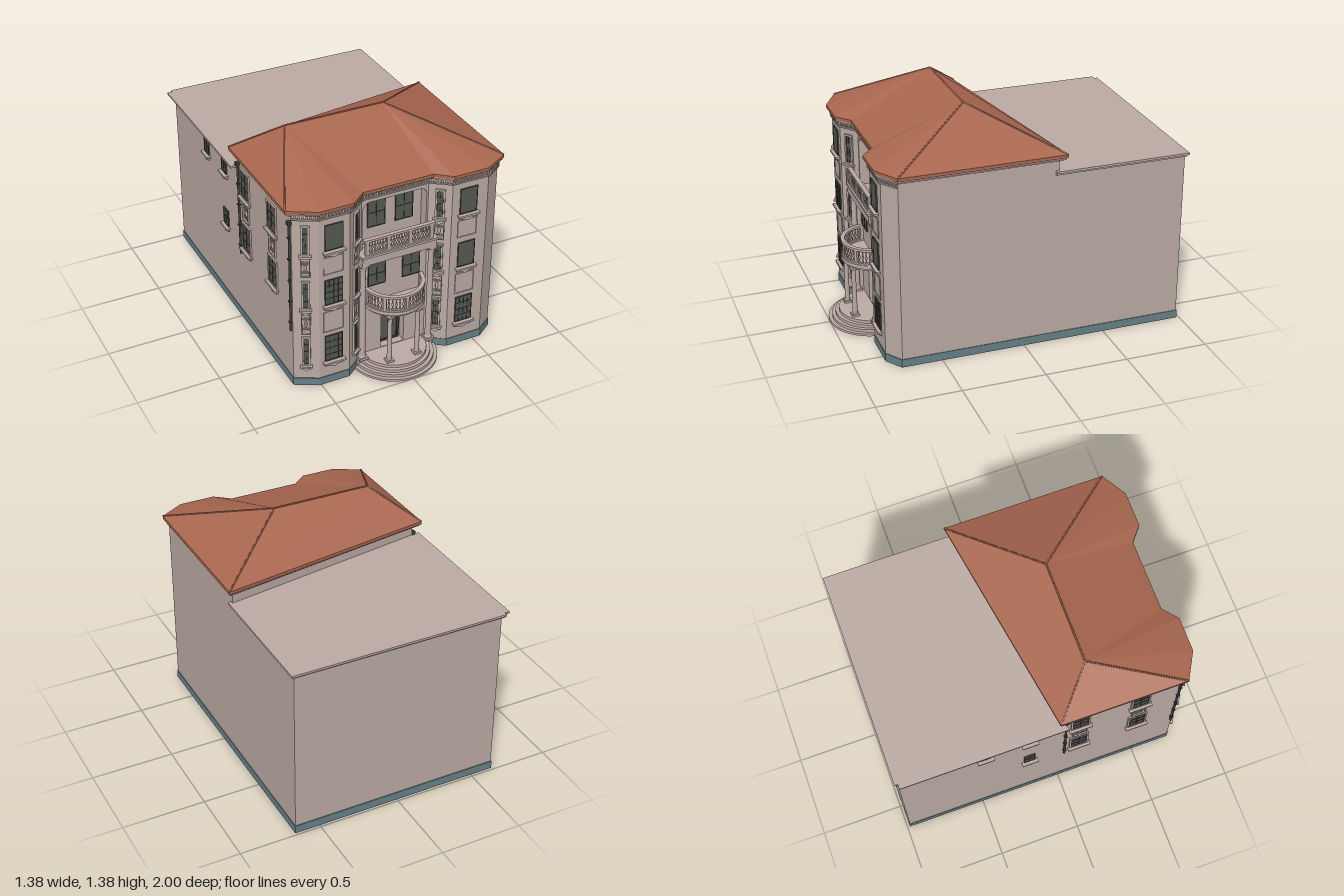
import * as THREE from 'three';

const mat = (name, color) => Object.assign(new THREE.MeshStandardMaterial({ color }), { name });

export function createModel() {
  const house = new THREE.Group();
  house.name = 'house';
  const wall = mat('warm grey stucco', 0xbbaaa3);
  const roofMat = mat('terracotta roof', 0xa9674f);
  const plinthMat = mat('blue grey plinth', 0x668087);
  const glass = mat('dark glass', 0x565a53);
  const iron = mat('dark iron', 0x3c403c);

  const add = (parent, name, geo, material, x = 0, y = 0, z = 0) => {
    const m = new THREE.Mesh(geo, material);
    m.name = name;
    m.position.set(x, y, z);
    parent.add(m);
    return m;
  };
  const box = (parent, name, w, h, d, material, x, y, z) =>
    add(parent, name, new THREE.BoxGeometry(w, h, d), material, x, y, z);
  // Plan outline [x, z] raised from y0 to y1
  const raise = (shape, y0, y1) => {
    const g = new THREE.ExtrudeGeometry(shape, { depth: y1 - y0, bevelEnabled: false, curveSegments: 24 });
    return g.rotateX(-Math.PI / 2).translate(0, y0, 0);
  };
  const plan = pts => new THREE.Shape(pts.map(([x, z]) => new THREE.Vector2(x, -z)));

  // Plan of the front block and of its eaves, from front left around to the back
  const foot = [[-0.64, 0.74], [-0.51, 0.81], [-0.32, 0.81], [-0.21, 0.73], [0.21, 0.73],
    [0.32, 0.81], [0.55, 0.81], [0.65, 0.74], [0.65, -0.2], [-0.64, 0.02]];
  const eave = [[-0.68, 0.75], [-0.52, 0.84], [-0.31, 0.84], [-0.22, 0.765], [0.22, 0.765],
    [0.31, 0.84], [0.53, 0.84], [0.683, 0.75], [0.683, -0.24], [-0.68, -0.02]];
  const ring = t => foot.map(([x, z], i) => [x + (eave[i][0] - x) * t, z + (eave[i][1] - z) * t]);
  const front = foot.slice(0, 8);
  const notched = [...foot.slice(0, 4), [-0.21, 0.67], [0.21, 0.67], ...foot.slice(4)];
  const rear = [[0.65, -0.98], [-0.64, -0.98]];

  // Main masses
  add(house, 'lowerBody', raise(plan([...notched.slice(0, 10), ...rear]), 0.02, 1.07), wall);
  add(house, 'upperBody', raise(plan(notched), 1.06, 1.17), wall);
  const grow = ([x, z]) => [x * 1.006, z * 1.005];
  add(house, 'plinth', raise(plan([...front, ...rear].map(grow)), 0, 0.05), plinthMat);
  add(house, 'rearRoofSlab', raise(plan([[-0.69, 0.03], [-0.69, -0.98], [-0.66, -0.98], [-0.66, -1],
    [0.67, -1], [0.67, -0.18], [0.6, -0.18]]), 1.072, 1.085), wall);
  add(house, 'rearRoofMoulding', raise(plan([[-0.66, 0.02], [-0.66, -0.99], [0.66, -0.99], [0.66, -0.18]]), 1.06, 1.072), wall);
  add(house, 'cornice', raise(plan(ring(0.5)), 1.148, 1.158), wall);
  add(house, 'corniceTop', raise(plan(ring(0.8)), 1.158, 1.168), wall);

  // Centre wall with loggia and door openings
  const rect = (P, x0, y0, x1, y1) => new P([[x0, y0], [x1, y0], [x1, y1], [x0, y1]].map(p => new THREE.Vector2(...p)));
  const centre = rect(THREE.Shape, -0.21, 0.02, 0.21, 1.16);
  const loggia = new THREE.Path();
  loggia.moveTo(-0.2, 0.78).lineTo(0.2, 0.78).lineTo(0.2, 1.05);
  loggia.quadraticCurveTo(0.195, 1.085, 0.16, 1.09).lineTo(-0.16, 1.09).quadraticCurveTo(-0.195, 1.085, -0.2, 1.05);
  centre.holes.push(loggia, rect(THREE.Path, -0.075, 0.07, 0.075, 0.35));
  add(house, 'centreWall', new THREE.ExtrudeGeometry(centre, { depth: 0.06, bevelEnabled: false }), wall, 0, 0, 0.67);

  // Hipped roof
  const R1 = [-0.43, 1.38, 0.21], R2 = [0.19, 1.38, 0.21];
  const p = eave.map(([x, z]) => [x, 1.188, z]);
  const tris = [];
  for (let i = 0; i < 3; i++) tris.push(p[i], p[i + 1], R1, p[i + 4], p[i + 5], R2);
  tris.push(p[3], p[4], R2, p[3], R2, R1, p[7], p[8], R2, p[8], p[9], R1, p[8], R1, R2, p[9], p[0], R1);
  const roofGeo = new THREE.BufferGeometry();
  roofGeo.setAttribute('position', new THREE.Float32BufferAttribute(tris.flat(), 3));
  roofGeo.computeVertexNormals();
  add(house, 'roof', roofGeo, roofMat);
  add(house, 'eaves', raise(plan(eave), 1.168, 1.188), roofMat);
  for (const [a, b] of [[R1, R2], [p[0], R1], [p[9], R1], [p[7], R2], [p[8], R2]]) {
    const line = new THREE.LineCurve3(new THREE.Vector3(...a), new THREE.Vector3(...b));
    add(house, 'hipTiles', new THREE.TubeGeometry(line, 1, 0.005, 6), roofMat);
  }

  // Group lying on a wall: x runs along it, z points out of it
  const face = (name, a, b) => {
    const g = new THREE.Group();
    g.name = name;
    g.position.set((a[0] + b[0]) / 2, 0, (a[1] + b[1]) / 2);
    g.rotation.y = Math.atan2(a[1] - b[1], b[0] - a[0]);
    g.userData.len = Math.hypot(b[0] - a[0], b[1] - a[1]);
    house.add(g);
    return g;
  };
  const border = (g, name, x, y0, y1, w, t, d, m, z = 0) => {
    const h = y1 - y0, y = (y0 + y1) / 2;
    for (const s of [-1, 1]) {
      box(g, name, t, h, d, m, x + s * (w - t) / 2, y, z + d / 2);
      box(g, name, w, t, d, m, x, y + s * (h - t) / 2, z + d / 2);
    }
  };
  const windowAt = (g, x, y0, y1, w, cols, rows, z = 0) => {
    const h = y1 - y0, y = (y0 + y1) / 2;
    box(g, 'windowGlass', w, h, 0.006, glass, x, y, z + 0.002);
    border(g, 'windowFrame', x, y0, y1, w, 0.004, 0.008, iron, z);
    for (let i = 1; i < cols; i++) box(g, 'glazingBar', 0.004, h, 0.007, iron, x - w / 2 + w * i / cols, y, z + 0.004);
    for (let i = 1; i < rows; i++) box(g, 'glazingBar', w, 0.004, 0.007, iron, x, y0 + h * i / rows, z + 0.004);
  };
  const sill = (g, x, y, w) => {
    box(g, 'sill', w + 0.02, 0.012, 0.028, wall, x, y - 0.006, 0.012);
    const s = new THREE.Shape();
    s.moveTo(-w / 2, 0).lineTo(-w / 2, -0.016).quadraticCurveTo(-w / 4, -0.016, 0, -0.032);
    s.quadraticCurveTo(w / 4, -0.016, w / 2, -0.016).lineTo(w / 2, 0);
    add(g, 'sillApron', new THREE.ExtrudeGeometry(s, { depth: 0.012, bevelEnabled: false, curveSegments: 4 }), wall, x, y - 0.012, 0);
  };
  const ornament = (g, x, y0, y1, w) => {
    border(g, 'panelFrame', x, y0, y1, w, 0.006, 0.01, wall);
    const y = (y0 + y1) / 2, h = y1 - y0;
    add(g, 'cartouche', new THREE.SphereGeometry(1, 10, 8).scale(w * 0.14, h * 0.2, 0.01), wall, x, y, 0);
    for (const s of [-1, 1]) for (const t of [-1, 1])
      add(g, 'scroll', new THREE.TorusGeometry(w * 0.12, 0.004, 5, 12), wall, x + s * w * 0.17, y + t * h * 0.25, 0.002);
  };

  // Front bays: wide faces, then chamfers with narrow windows
  const floors = [[0.16, 0.335], [0.55, 0.715], [0.91, 1.075]];
  const panels = [[0.36, 0.5], [0.75, 0.865]];
  for (const [i, cx, name] of [[1, -0.42, 'leftBay'], [5, 0.425, 'rightBay']]) {
    const g = face(name, foot[i], foot[i + 1]);
    const x = cx - g.position.x;
    floors.forEach(([a, b], k) => {
      const barred = k === 0 || (k === 1 && i === 1);
      windowAt(g, x, a, b, 0.11, barred ? 4 : 1, barred ? 4 : 1);
      sill(g, x, a - 0.004, 0.115);
    });
    panels.forEach(([a, b]) => border(g, 'panelFrame', x, a, b, 0.125, 0.004, 0.005, wall));
  }
  for (const [i, w, name] of [[0, 0.05, 'outerChamfer'], [2, 0.056, 'leftInnerChamfer'], [4, 0.056, 'rightInnerChamfer']]) {
    const g = face(name, foot[i], foot[i + 1]);
    floors.forEach(([a, b]) => {
      windowAt(g, 0, a - 0.008, b - 0.002, w * 0.6, 2, 4);
      border(g, 'windowSurround', 0, a - 0.015, b + 0.008, w, 0.01, 0.012, wall);
      sill(g, 0, a - 0.015, w);
    });
    panels.forEach(([a, b]) => ornament(g, 0, a, b, w + 0.004));
  }

  // Frieze and dentils along the front
  for (let i = 0; i < 7; i++) {
    const g = face('frieze', foot[i], foot[i + 1]), n = Math.round(g.userData.len / 0.02);
    box(g, 'friezeBand', g.userData.len, 0.008, 0.016, wall, 0, 1.122, 0.004);
    for (let k = 0; k < n; k++)
      box(g, 'dentil', 0.01, 0.016, 0.016, wall, ((k + 0.5) / n - 0.5) * g.userData.len, 1.14, 0.006);
  }

  // Side wall windows and drainpipes
  const side = face('sideWall', [-0.64, -0.98], [-0.64, 0.74]);
  for (const [z, y] of [[-0.46, 0.965], [-0.19, 0.975], [-0.19, 0.61]]) {
    windowAt(side, z + 0.12, y - 0.055, y + 0.055, 0.07, 2, 2);
    sill(side, z + 0.12, y - 0.057, 0.08);
  }
  for (const z of [0.12, 0.49]) {
    floors.slice(1).forEach(([a, b]) => {
      windowAt(side, z + 0.12, a, b, 0.1, 2, 3);
      border(side, 'windowSurround', z + 0.12, a - 0.01, b + 0.01, 0.12, 0.01, 0.01, wall);
      sill(side, z + 0.12, a - 0.01, 0.12);
    });
    ornament(side, z + 0.12, 0.75, 0.865, 0.09);
  }
  for (const [z, low] of [[0.03, 0.48], [0.73, 0.38]]) {
    add(house, 'drainpipe', new THREE.CylinderGeometry(0.007, 0.007, 1.1 - low, 8), iron, -0.648, (1.1 + low) / 2, z);
    box(house, 'rainHopper', 0.026, 0.022, 0.026, iron, -0.648, 1.095, z);
    for (let y = low + 0.06; y < 1.05; y += 0.14) box(house, 'pipeClip', 0.02, 0.008, 0.02, iron, -0.648, y, z);
  }

  // Centre windows and door
  const mid = face('centreBay', [-0.21, 0], [0.21, 0]);
  for (const s of [-1, 1]) {
    windowAt(mid, s * 0.088, 0.885, 1.07, 0.112, 2, 2, 0.67);
    windowAt(mid, s * 0.11, 0.53, 0.68, 0.112, 2, 2, 0.73);
  }
  box(mid, 'door', 0.15, 0.28, 0.008, glass, 0, 0.21, 0.674);
  border(mid, 'doorFrame', 0, 0.07, 0.3, 0.13, 0.012, 0.012, iron, 0.674);
  box(mid, 'doorMeeting', 0.005, 0.21, 0.008, iron, 0, 0.18, 0.68);
  box(mid, 'transom', 0.15, 0.012, 0.014, iron, 0, 0.3, 0.682);

  // Columns
  const column = (x, z, r, y0, y1) => {
    const h = y1 - y0;
    const prof = [[0, 0], [1.4, 0], [1.4, 0.02], [1.1, 0.035], [1, 0.05], [0.85, 0.93], [1.1, 0.94], [0.9, 0.95], [1.3, 0.98], [1.3, 1], [0, 1]];
    add(house, 'column', new THREE.LatheGeometry(prof.map(([a, b]) => new THREE.Vector2(a * r, b * h)), 16), wall, x, y0, z);
    box(house, 'columnPlinth', r * 3, 0.016, r * 3, wall, x, y0 + 0.008, z);
    box(house, 'abacus', r * 2.8, 0.012, r * 2.8, wall, x, y1 - 0.006, z);
  };
  for (const s of [-1, 1]) {
    column(s * 0.218, 0.77, 0.019, 0.065, 0.725);
    column(s * 0.09, 0.865, 0.015, 0.065, 0.39);
  }

  // Round entrance steps
  const half = (name, r, y0, y1, z) => add(house, name,
    new THREE.CylinderGeometry(r, r, y1 - y0, 40, 1, false, -Math.PI / 2, Math.PI), wall, 0, (y0 + y1) / 2, z);
  [0.265, 0.243, 0.222, 0.2].forEach((r, i) => half('entranceStep', r, 0, 0.018 * (i + 1) - 0.004, 0.735));
  box(house, 'porchFloor', 0.5, 0.066, 0.07, wall, 0, 0.033, 0.735);

  // Balusters
  const balusterGeo = new THREE.LatheGeometry([[0.006, 0], [0.006, 0.01], [0.003, 0.018], [0.0075, 0.035],
    [0.003, 0.06], [0.006, 0.07], [0.006, 0.08]].map(q => new THREE.Vector2(...q)), 8);
  const arcBand = (r0, r1) => {
    const s = new THREE.Shape();
    s.absarc(0, 0, r1, Math.PI, Math.PI * 2, false);
    s.absarc(0, 0, r0, Math.PI * 2, Math.PI, true);
    return s;
  };

  // Curved balcony over the door
  half('balconyMoulding', 0.178, 0.388, 0.402, 0.72);
  half('balconyFloor', 0.19, 0.402, 0.425, 0.72);
  add(house, 'curvedBottomRail', raise(arcBand(0.165, 0.186), 0.425, 0.435), wall, 0, 0, 0.72);
  add(house, 'curvedHandrail', raise(arcBand(0.163, 0.188), 0.512, 0.526), wall, 0, 0, 0.72);
  for (let i = 0; i < 25; i++) {
    const a = Math.PI * (i + 1) / 26;
    const x = Math.cos(a) * 0.175, z = 0.72 + Math.sin(a) * 0.175;
    if (i % 6 === 0) box(house, 'curvedPost', 0.018, 0.09, 0.018, wall, x, 0.47, z).rotation.y = Math.PI / 2 - a;
    else add(house, 'baluster', balusterGeo, wall, x, 0.433, z);
  }

  // Upper balcony
  box(house, 'upperBalconyBeam', 0.47, 0.05, 0.085, wall, 0, 0.75, 0.757);
  box(house, 'upperBalconyFloor', 0.485, 0.014, 0.1, wall, 0, 0.782, 0.757);
  box(house, 'upperBottomRail', 0.43, 0.01, 0.022, wall, 0, 0.794, 0.785);
  box(house, 'upperHandrail', 0.45, 0.014, 0.026, wall, 0, 0.883, 0.785);
  for (let i = 0; i <= 24; i++) {
    const x = -0.204 + i * 0.017;
    if (i % 8 === 0) box(house, 'upperPost', 0.022, 0.09, 0.022, wall, x, 0.835, 0.785);
    else add(house, 'baluster', balusterGeo, wall, x, 0.797, 0.785);
  }
  return house;
}
